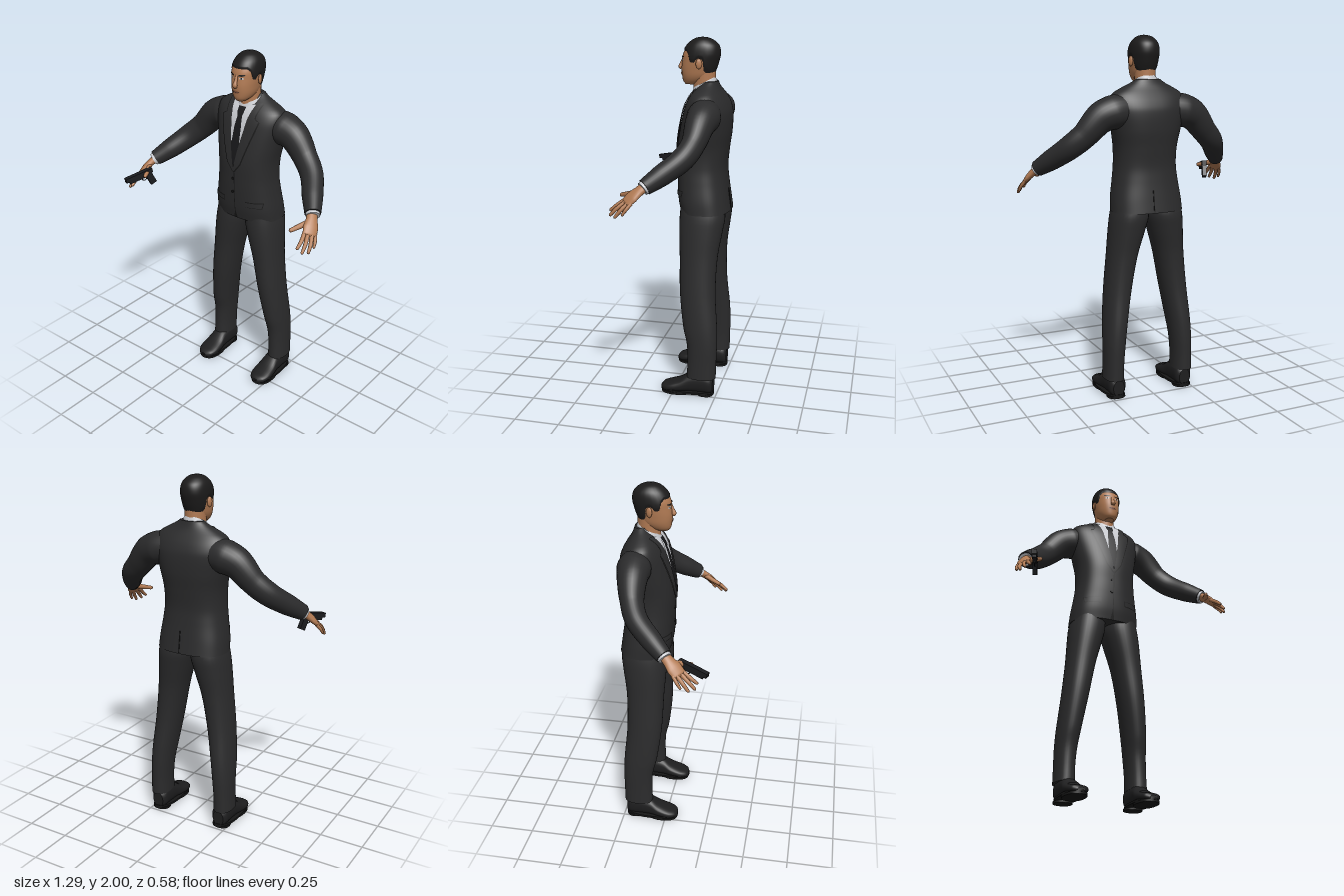
import * as THREE from 'three';

const mat = (name, color) => {
  const m = new THREE.MeshStandardMaterial({ color, side: THREE.DoubleSide });
  m.name = name;
  return m;
};

// Interpolate rows of numbers keyed by their first column
function at(keys, y, linear = false) {
  const n = keys.length - 1;
  y = Math.min(Math.max(y, keys[0][0]), keys[n][0]);
  let i = 0;
  while (i < n - 1 && y > keys[i + 1][0]) i++;
  const a = keys[i], b = keys[i + 1], h = b[0] - a[0], t = (y - a[0]) / h;
  const slope = (k, c) => {
    const p = keys[Math.max(k - 1, 0)], q = keys[Math.min(k + 1, n)];
    return (q[c] - p[c]) / (q[0] - p[0]);
  };
  return a.map((v, c) => {
    if (linear) return v + (b[c] - v) * t;
    const t2 = t * t, t3 = t2 * t;
    return v * (2 * t3 - 3 * t2 + 1) + b[c] * (3 * t2 - 2 * t3)
      + h * (slope(i, c) * (t3 - 2 * t2 + t) + slope(i + 1, c) * (t3 - t2));
  });
}

// Surface from fn(u, v) -> [x, y, z]; closed joins the u ends, caps fill the v ends
function grid(fn, nu, nv, closed = false, caps = false) {
  const pos = [], idx = [], w = closed ? nu : nu + 1;
  for (let j = 0; j <= nv; j++) for (let i = 0; i < w; i++) pos.push(...fn(i / nu, j / nv));
  for (let j = 0; j < nv; j++) for (let i = 0; i < nu; i++) {
    const a = j * w + i, b = j * w + (i + 1) % w;
    idx.push(a, b, b + w, a, b + w, a + w);
  }
  if (caps) for (const v of [0, 1]) {
    const o = pos.length / 3, c = [0, 0, 0];
    for (let i = 0; i < nu; i++) {
      const p = fn(i / nu, v);
      pos.push(...p);
      p.forEach((q, k) => { c[k] += q / nu; });
    }
    pos.push(...c);
    for (let i = 0; i < nu; i++) {
      const a = o + i, b = o + (i + 1) % nu;
      v ? idx.push(a, b, o + nu) : idx.push(b, a, o + nu);
    }
  }
  const g = new THREE.BufferGeometry();
  g.setAttribute('position', new THREE.Float32BufferAttribute(pos, 3));
  g.setIndex(idx);
  g.computeVertexNormals();
  return g;
}

// Upright body form; keys are [y, centre x, half width, front z, back z, squareness]
function surf(keys, y, th) {
  const [, cx, rx, zf, zb, p] = at(keys, y);
  const pw = (v) => Math.sign(v) * Math.abs(v) ** (2 / p);
  return [cx + Math.max(rx, 0.001) * pw(Math.sin(th)), y, (zf + zb) / 2 + (zf - zb) / 2 * pw(Math.cos(th))];
}
const column = (keys, nu = 40, nv = 40) => {
  const y0 = keys[0][0], y1 = keys[keys.length - 1][0];
  return grid((u, v) => surf(keys, y0 + (y1 - y0) * v, u * Math.PI * 2), nu, nv, true, true);
};

// Thin panel laid on the front of a body form; rows are [y, left x, right x]
const drape = (keys, rows, off) => grid((u, v) => {
  const y = rows[0][0] + (rows[rows.length - 1][0] - rows[0][0]) * v;
  const [, xl, xr] = at(rows, y, true), x = xl + (xr - xl) * u;
  const [, cx, rx, zf, zb, p] = at(keys, y);
  const k = Math.max(0, 1 - Math.abs((x - cx) / rx) ** p) ** (1 / p);
  return [x, y, (zf + zb) / 2 + (zf - zb) / 2 * k + off];
}, 8, 32);
const flip = (rows) => rows.map(([y, a, b]) => [y, -b, -a]);

// Limb along a path of [x, y, z, radius along hint, other radius], mirrored by s
function sweep(pts, s, hint, nu = 20, nv = 24) {
  const curve = new THREE.CatmullRomCurve3(pts.map((p) => new THREE.Vector3(p[0] * s, p[1], p[2])));
  const radii = pts.map((p, i) => [i / (pts.length - 1), p[3], p[4]]);
  const h = new THREE.Vector3(hint[0] * s, hint[1], hint[2]);
  return grid((u, v) => {
    const d = curve.getTangent(v), c = curve.getPoint(v), [, ru, rv] = at(radii, v, true);
    const U = h.clone().addScaledVector(d, -h.dot(d)).normalize();
    const V = U.clone().cross(d), th = u * Math.PI * 2;
    return c.addScaledVector(U, ru * Math.sin(th)).addScaledVector(V, rv * Math.cos(th)).toArray();
  }, nu, nv, true, true);
}

const JACKET = [
  [1.05, 0, 0.203, -0.005, -0.285, 2.5], [1.12, 0, 0.198, 0.008, -0.275, 2.5], [1.22, 0, 0.184, 0.015, -0.262, 2.4],
  [1.3, 0, 0.175, 0.017, -0.256, 2.4], [1.4, 0, 0.177, 0.017, -0.265, 2.4], [1.5, 0, 0.195, 0.003, -0.277, 2.4],
  [1.6, 0, 0.213, -0.02, -0.276, 2.4], [1.65, 0, 0.213, -0.037, -0.26, 2.4], [1.69, 0, 0.198, -0.058, -0.237, 2.3],
  [1.72, 0, 0.15, -0.082, -0.217, 2.2], [1.745, 0, 0.1, -0.105, -0.206, 2], [1.765, 0, 0.07, -0.125, -0.2, 2]];
const HEAD = [
  [1.745, 0, 0.026, -0.018, -0.08, 2], [1.76, 0, 0.044, -0.006, -0.125, 2.1], [1.79, 0, 0.06, 0, -0.165, 2.2],
  [1.83, 0, 0.068, 0.003, -0.185, 2.2], [1.87, 0, 0.073, -0.001, -0.198, 2.2], [1.91, 0, 0.075, -0.007, -0.206, 2.2],
  [1.95, 0, 0.068, -0.028, -0.198, 2.1], [1.975, 0, 0.05, -0.055, -0.172, 2], [1.988, 0, 0.027, -0.082, -0.143, 2],
  [1.992, 0, 0.003, -0.108, -0.115, 2]];
const LEG = [
  [0.105, 0.214, 0.054, -0.08, -0.246, 2.3], [0.2, 0.212, 0.054, -0.083, -0.248, 2.2], [0.3, 0.207, 0.058, -0.078, -0.25, 2.2],
  [0.4, 0.198, 0.063, -0.055, -0.247, 2.2], [0.6, 0.172, 0.072, -0.03, -0.231, 2.2], [0.8, 0.143, 0.082, -0.022, -0.235, 2.2],
  [0.95, 0.116, 0.097, -0.013, -0.257, 2.2], [1.03, 0.102, 0.102, -0.013, -0.267, 2.2], [1.1, 0.098, 0.09, -0.02, -0.255, 2.2]];
// Shoe sections run from toe to heel and are then laid down
const SHOE = [
  [-0.071, 0.206, 0.02, 0.034, 0.012, 2.2], [-0.06, 0.206, 0.042, 0.046, 0.01, 2.4], [-0.02, 0.207, 0.06, 0.06, 0.01, 2.5],
  [0.04, 0.207, 0.06, 0.084, 0.01, 2.4], [0.09, 0.207, 0.052, 0.118, 0.01, 2.4], [0.16, 0.207, 0.05, 0.135, 0.01, 2.4],
  [0.215, 0.207, 0.047, 0.125, 0.01, 2.4], [0.232, 0.207, 0.033, 0.105, 0.015, 2.2]];

export function createModel() {
  const root = new THREE.Group();
  root.name = 'suitedMan';
  const suit = mat('suit charcoal', 0x2b2b2c), seam = mat('seam black', 0x171717), hairM = mat('hair black', 0x1c1b1b);
  const skin = mat('skin', 0xb27b54), shirt = mat('shirt white', 0xc9cbd0), tieM = mat('tie black', 0x18181a);
  const leather = mat('shoe leather', 0x1e1e1f), metal = mat('gun metal', 0x1b1c1f), lip = mat('lips', 0x8c5840);
  const add = (name, geo, m, parent = root) => {
    const mesh = new THREE.Mesh(geo, m);
    mesh.name = name;
    parent.add(mesh);
    return mesh;
  };

  // Jacket, shirt front and tie
  add('jacketBody', column(JACKET, 56, 60), suit);
  add('shirtFront', drape(JACKET, [[1.4, -0.004, 0.004], [1.62, -0.06, 0.06], [1.72, -0.078, 0.078]], 0.003), shirt);
  add('tie', drape(JACKET, [[1.39, -0.004, 0.004], [1.45, -0.028, 0.028], [1.6, -0.022, 0.022], [1.665, -0.014, 0.014]], 0.006), tieM);
  add('tieKnot', drape(JACKET, [[1.655, -0.012, 0.012], [1.675, -0.021, 0.021], [1.705, -0.023, 0.023]], 0.011), tieM);
  add('frontEdge', drape(JACKET, [[1.052, -0.012, 0.012], [1.1, -0.002, 0.003], [1.37, 0, 0.004]], 0.002), seam);
  for (const y of [1.22, 1.3]) {
    add('button', new THREE.CylinderGeometry(0.008, 0.008, 0.006, 12).rotateX(Math.PI / 2), seam).position.set(-0.01, y, 0.018);
  }
  add('backVent', new THREE.BoxGeometry(0.005, 0.12, 0.008).rotateX(0.13), seam).position.set(0.015, 1.115, -0.275);

  const lapel = [[1.35, -0.004, 0.004], [1.4, 0.006, 0.042], [1.6, 0.045, 0.108], [1.65, 0.052, 0.122], [1.66, 0.054, 0.092], [1.73, 0.074, 0.105]];
  const lapelEdge = lapel.map(([y, a, b]) => [y - 0.004, a, b + 0.005]);
  const wing = [[1.63, 0.046, 0.05], [1.66, 0.032, 0.064], [1.7, 0.016, 0.076], [1.72, 0.03, 0.076]];
  const flap = [[1.145, 0.075, 0.16], [1.172, 0.075, 0.165]];
  const flapEdge = [[1.141, 0.073, 0.162], [1.176, 0.073, 0.167]];

  for (const s of [1, -1]) {
    const side = s > 0 ? 'left' : 'right', m = (rows) => (s > 0 ? rows : flip(rows));
    add(side + 'LapelEdge', drape(JACKET, m(lapelEdge), 0.005), seam);
    add(side + 'Lapel', drape(JACKET, m(lapel), 0.009), suit);
    add(side + 'CollarWing', drape(JACKET, m(wing), 0.007), shirt);
    add(side + 'PocketEdge', drape(JACKET, m(flapEdge), 0.002), seam);
    add(side + 'PocketFlap', drape(JACKET, m(flap), 0.005), suit);

    // Trouser leg and shoe
    add(side + 'TrouserLeg', column(LEG.map(([y, x, ...r]) => [y, x * s, ...r]), 32, 40), suit);
    add(side + 'Shoe', column(SHOE.map(([y, x, ...r]) => [y, x * s, ...r]), 28, 32).rotateX(-Math.PI / 2), leather);
    const plate = (y0, y1, rx, zf, zb) => column([[y0, 0.207 * s, rx, zf, zb, 2.3], [y1, 0.207 * s, rx, zf, zb, 2.3]], 28, 1);
    add(side + 'Welt', plate(0.012, 0.024, 0.064, 0.074, -0.237), seam);
    add(side + 'Sole', plate(0, 0.013, 0.062, 0.07, -0.11), seam);
    add(side + 'Heel', plate(0, 0.013, 0.052, -0.14, -0.235), seam);

    // Sleeve, cuff and hand
    add(side + 'Sleeve', sweep([
      [0.15, 1.6, -0.163, 0.085, 0.09], [0.21, 1.592, -0.165, 0.092, 0.092], [0.275, 1.565, -0.16, 0.08, 0.085],
      [0.36, 1.475, -0.143, 0.062, 0.07], [0.43, 1.41, -0.105, 0.06, 0.066], [0.505, 1.335, -0.01, 0.055, 0.057],
      [0.557, 1.285, 0.06, 0.043, 0.044]], s, [0, 0, 1], 28, 40), suit);
    const spread = [0.65, -0.25, -0.72];
    add(side + 'Cuff', sweep([[0.54, 1.3, 0.04, 0.038, 0.037], [0.564, 1.277, 0.069, 0.038, 0.036]], s, spread, 20, 2), shirt);
    add(side + 'Palm', sweep([
      [0.55, 1.288, 0.058, 0.028, 0.024], [0.57, 1.264, 0.088, 0.031, 0.021], [0.586, 1.238, 0.118, 0.041, 0.018],
      [0.598, 1.212, 0.144, 0.038, 0.013], [0.602, 1.204, 0.152, 0.024, 0.006]], s, spread), skin);
    const fingers = [
      [[0.574, 1.224, 0.152], [0.586, 1.19, 0.2], [0.585, 1.162, 0.235]],
      [[0.59, 1.215, 0.148], [0.608, 1.177, 0.195], [0.612, 1.143, 0.228]],
      [[0.606, 1.209, 0.134], [0.625, 1.17, 0.172], [0.63, 1.137, 0.198]],
      [[0.614, 1.21, 0.115], [0.631, 1.178, 0.14], [0.636, 1.152, 0.158]],
      [[0.566, 1.258, 0.1], [0.536, 1.24, 0.155], [0.513, 1.228, 0.198]]];
    fingers.forEach(([a, b, c], i) => {
      const r = i === 4 ? 0.014 : i === 3 ? 0.009 : 0.0105;
      const tip = c.map((v, k) => v + (c[k] - b[k]) * 0.12);
      add(side + (i === 4 ? 'Thumb' : 'Finger'), sweep([[...a, r * 1.1, r * 1.1], [...b, r, r],
        [...c, r * 0.75, r * 0.75], [...tip, 0.002, 0.002]], s, spread, 10, 15), skin);
    });

    // Ear, eye and brow
    const ear = add(side + 'Ear', new THREE.SphereGeometry(1, 14, 10).scale(0.009, 0.028, 0.017), skin);
    ear.position.set(0.077 * s, 1.86, -0.108);
    ear.rotation.y = 0.3 * s;
    add(side + 'Eye', drape(HEAD, m([[1.872, 0.026, 0.034], [1.877, 0.018, 0.044], [1.882, 0.024, 0.038]], 0), 0.002), shirt);
    add(side + 'Iris', drape(HEAD, m([[1.872, 0.028, 0.033], [1.882, 0.027, 0.034]]), 0.003), hairM);
    add(side + 'Brow', drape(HEAD, m([[1.889, 0.013, 0.034], [1.894, 0.013, 0.05], [1.899, 0.028, 0.046]]), 0.004), hairM);
  }

  // Neck and shirt collar
  add('neck', column([[1.67, 0, 0.058, -0.062, -0.19, 2], [1.75, 0, 0.056, -0.062, -0.186, 2], [1.83, 0, 0.058, -0.06, -0.186, 2]], 28, 8), skin);
  add('shirtCollar', grid((u, v) => {
    const th = u * Math.PI * 2, c = Math.cos(th), r = 0.076 - 0.012 * v;
    return [r * Math.sin(th), 1.722 - 0.03 * c + 0.036 * v, -0.125 + (r - 0.005) * c];
  }, 32, 3, true), shirt);

  // Head, nose, lips and hair
  add('head', column(HEAD, 40, 50), skin);
  add('nose', sweep([[0, 1.89, -0.008, 0.007, 0.006], [0, 1.86, 0.003, 0.009, 0.009], [0, 1.838, 0.01, 0.015, 0.013],
    [0, 1.827, 0.004, 0.01, 0.008]], 1, [1, 0, 0], 14, 14), skin);
  add('lips', drape(HEAD, [[1.794, -0.012, 0.012], [1.802, -0.024, 0.024], [1.81, -0.01, 0.01]], 0.004), lip);
  add('mouthLine', drape(HEAD, [[1.801, -0.022, 0.022], [1.803, -0.022, 0.022]], 0.005), seam);
  const hairline = [[0, 1.925], [0.7, 1.925], [1, 1.908], [1.15, 1.868], [1.42, 1.865], [1.52, 1.89], [1.8, 1.882],
    [1.98, 1.825], [2.4, 1.797], [3.15, 1.787]];
  add('hair', grid((u, v) => {
    const th = u * Math.PI * 2, low = at(hairline, Math.min(th, Math.PI * 2 - th), true)[1];
    const [x, y, z] = surf(HEAD, low + (1.992 - low) * Math.sin(v * Math.PI / 2), th);
    const k = 1 + 0.055 * Math.min(1, v * 12);
    return [x * k, 1.87 + (y - 1.87) * k, -0.1 + (z + 0.1) * k];
  }, 72, 36, true), hairM);

  // Pistol in the right hand
  const gun = new THREE.Group();
  gun.name = 'pistol';
  gun.position.set(-0.553, 1.222, 0.208);
  gun.lookAt(-0.613, 1.187, 0.363);
  add('slide', new THREE.BoxGeometry(0.028, 0.026, 0.17), metal, gun).position.y = 0.008;
  add('frame', new THREE.BoxGeometry(0.023, 0.016, 0.145), metal, gun).position.set(0, -0.012, -0.006);
  add('grip', new THREE.BoxGeometry(0.025, 0.07, 0.038).rotateX(0.25), metal, gun).position.set(0, -0.042, -0.066);
  add('triggerGuard', new THREE.TorusGeometry(0.014, 0.003, 6, 16).rotateY(Math.PI / 2), metal, gun).position.set(0, -0.026, -0.028);
  add('muzzle', new THREE.CylinderGeometry(0.008, 0.008, 0.006, 12).rotateX(Math.PI / 2), seam, gun).position.set(0, 0.008, 0.084);
  root.add(gun);
  return root;
}
